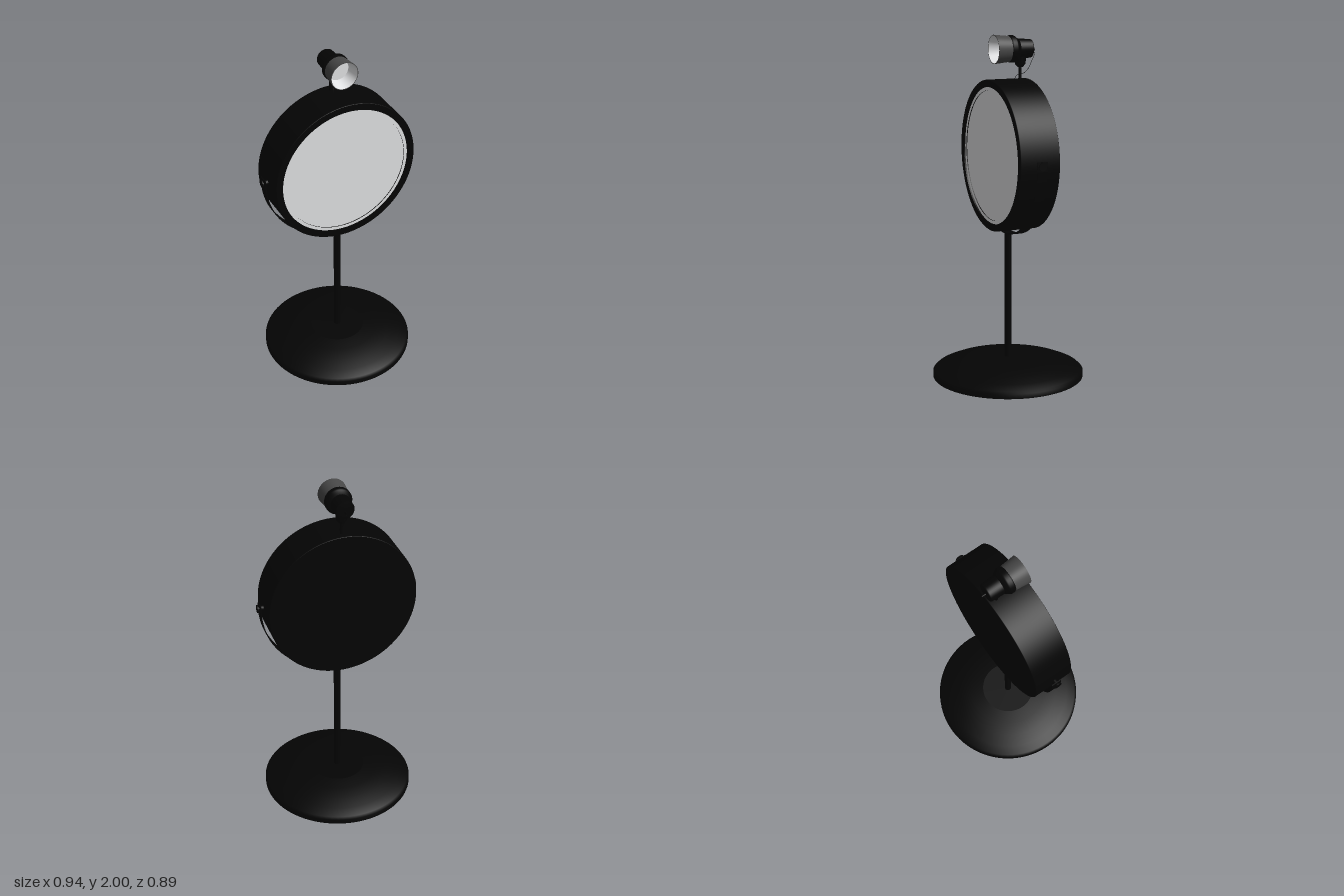
import * as THREE from 'three';

const mat = (name, color) => {
  const m = new THREE.MeshStandardMaterial({ color });
  m.name = name;
  return m;
};

export function createModel() {
  const black = mat('black', 0x040404);
  const glass = mat('pale glass', 0xe4e5e7);
  const grey = mat('grey metal', 0x484848);
  const root = new THREE.Group();
  const cx = 0.003; // the upright axis sits a hair off centre

  const add = (name, geo, material, parent = root, x = 0, y = 0, z = 0) => {
    const mesh = new THREE.Mesh(geo, material);
    mesh.name = name;
    mesh.position.set(x, y, z);
    parent.add(mesh);
    return mesh;
  };
  // Doubled profile points keep an edge sharp
  const turned = (pts, seg = 64) => new THREE.LatheGeometry(pts.map(p => new THREE.Vector2(...p)), seg);
  // Turned about z: profile is [radius, z]
  const turnedZ = (pts, seg) => turned(pts, seg).rotateX(Math.PI / 2);
  const rodX = (r, len, seg = 24) => new THREE.CylinderGeometry(r, r, len, seg).rotateZ(Math.PI / 2);
  const rodZ = (r1, r0, len, seg = 40) => new THREE.CylinderGeometry(r1, r0, len, seg).rotateX(Math.PI / 2);

  // Domed foot, hollow underneath, and pole
  add('base', turned([[0, 0.1], [0.16, 0.1], [0.24, 0.091], [0.31, 0.075], [0.38, 0.053], [0.425, 0.033],
    [0.437, 0.022], [0.437, 0], [0.437, 0], [0.443, 0], [0.443, 0], [0.443, 0.028], [0.43, 0.04],
    [0.38, 0.062], [0.31, 0.084], [0.24, 0.1], [0.16, 0.11], [0.16, 0.11], [0, 0.11]], 80),
    black, root, cx - 0.001, 0, 0);
  add('pole', new THREE.CylinderGeometry(0.02, 0.02, 0.758, 32), black, root, cx, 0.484, 0);
  add('poleScrew', new THREE.CylinderGeometry(0.008, 0.008, 0.008, 16), black, root, cx, 0.098, 0);

  // Drum housing: back, side, front rim and a recess down to the lens
  const drum = new THREE.Group();
  drum.name = 'drum';
  drum.position.set(cx, 1.315, 0);
  root.add(drum);
  add('drumShell', turnedZ([[0, -0.12], [0.43, -0.12], [0.43, -0.12], [0.433, -0.117], [0.433, 0.112],
    [0.43, 0.115], [0.43, 0.115], [0.392, 0.115], [0.392, 0.115], [0.392, 0.106]], 128), black, drum);
  add('lensRim', turnedZ([[0.392, 0.106], [0.373, 0.106]], 128), glass, drum);
  add('lensStep', turnedZ([[0.373, 0.106], [0.373, 0.101]], 128), black, drum);
  add('frontLens', turnedZ([[0.373, 0.101], [0, 0.101]], 128), glass, drum);

  // Thin strap yoke hanging below the drum
  const arc = (r, a0, a1, n = 48) => Array.from({ length: n + 1 }, (_, i) => {
    const a = a0 + (a1 - a0) * i / n;
    return new THREE.Vector2(Math.cos(a) * r, Math.sin(a) * r);
  });
  const top = 0.025;
  const strap = new THREE.Shape([
    new THREE.Vector2(-0.457, top), ...arc(0.457, -Math.PI, 0), new THREE.Vector2(0.457, top),
    new THREE.Vector2(0.452, top), ...arc(0.452, 0, -Math.PI), new THREE.Vector2(-0.452, top)]);
  add('yoke', new THREE.ExtrudeGeometry(strap, { depth: 0.06, bevelEnabled: false }), black, drum, 0, 0, -0.033);

  // Pivot screws on both sides
  for (const s of [-1, 1]) {
    const pivot = new THREE.Group();
    pivot.name = s > 0 ? 'leftPivot' : 'rightPivot';
    drum.add(pivot);
    add('pivotShaft', rodX(0.009, 0.045), black, pivot, s * 0.447, 0, 0);
    add('pivotWasher', rodX(0.016, 0.018), black, pivot, s * 0.442, 0, 0);
    add('pivotKnob', rodX(0.023, 0.005), black, pivot, s * 0.467, 0, 0);
  }

  // Small spot lamp on top
  const lamp = new THREE.Group();
  lamp.name = 'spotLamp';
  lamp.position.set(cx, 1.918, 0);
  root.add(lamp);
  add('lampCup', turnedZ([[0.073, 0], [0.082, 0.088], [0.082, 0.088], [0.078, 0.088]], 48), grey, lamp);
  add('cupInside', turnedZ([[0.078, 0.088], [0.062, 0.012], [0.062, 0.012], [0, 0.012]], 48), glass, lamp);
  add('lampCollar', turnedZ([[0, -0.058], [0.056, -0.058], [0.072, -0.036], [0.077, -0.028],
    [0.077, -0.008], [0.072, 0.002], [0, 0.002]], 48), black, lamp);
  add('lampBody', turnedZ([[0, -0.14], [0.05, -0.14], [0.053, -0.134], [0.057, -0.04]], 40), black, lamp);
  add('cableGland', rodZ(0.007, 0.005, 0.03, 16), black, lamp, 0, -0.01, -0.15);

  // Knuckle and stem that carry the lamp
  add('knuckle', new THREE.CylinderGeometry(0.036, 0.03, 0.05, 24), black, root, cx, 1.855, -0.075);
  add('knuckleCollar', new THREE.CylinderGeometry(0.03, 0.016, 0.018, 24), black, root, cx, 1.824, -0.075);
  add('stem', new THREE.CylinderGeometry(0.009, 0.009, 0.09, 16), black, root, cx, 1.785, -0.075);

  // Loose cable from the lamp to the drum
  const cablePath = new THREE.CatmullRomCurve3([[0, 1.905, -0.155], [0, 1.89, -0.165], [0.008, 1.85, -0.145],
    [0.014, 1.8, -0.115], [0.012, 1.775, -0.08], [0.005, 1.768, -0.05], [0, 1.745, -0.04]]
    .map(([x, y, z]) => new THREE.Vector3(cx + x, y, z)));
  add('cable', new THREE.TubeGeometry(cablePath, 32, 0.0014, 6), black);
  return root;
}
